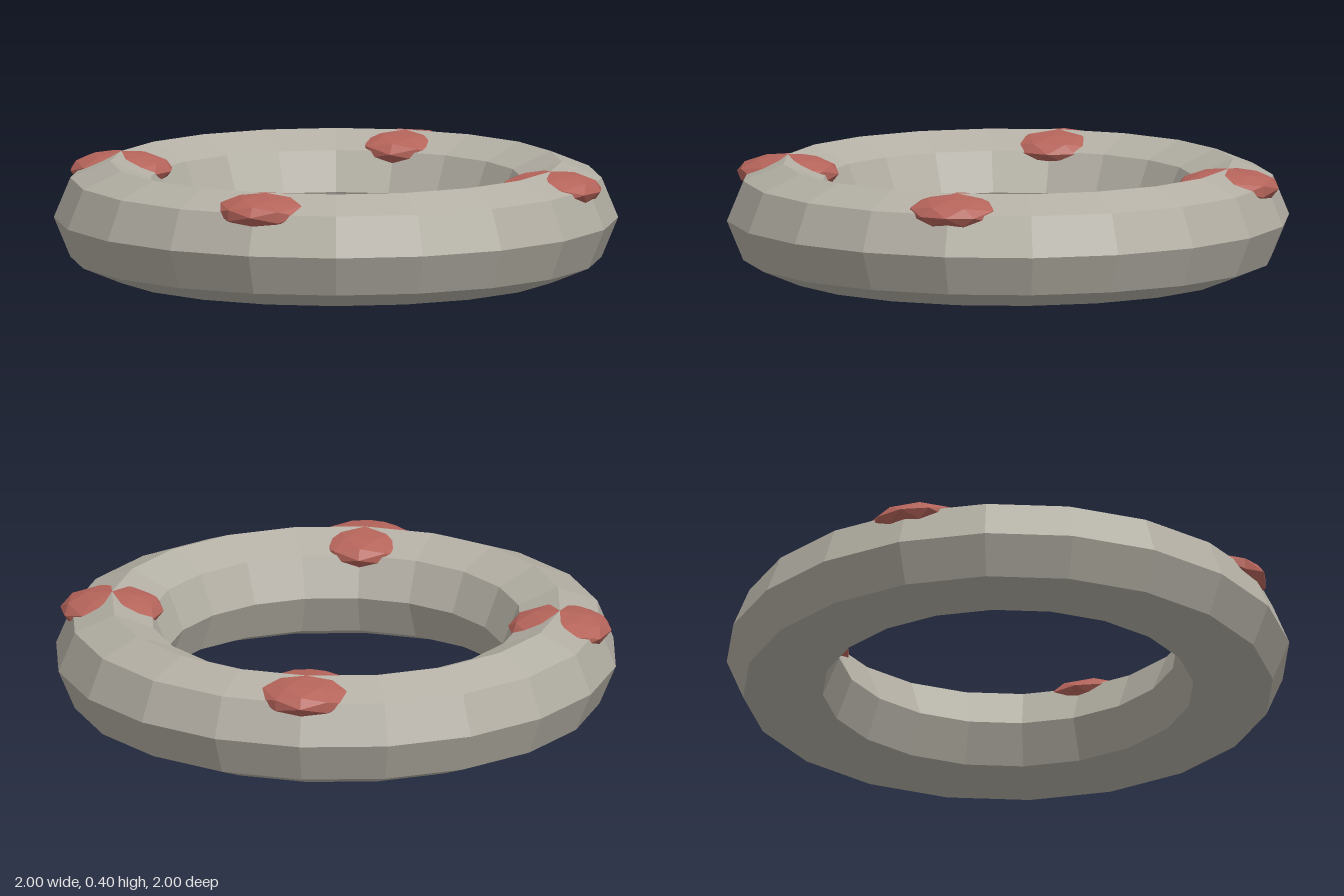
import * as THREE from 'three';

export function createModel() {
  const model = new THREE.Group();
  const stone = new THREE.MeshStandardMaterial({ color: 0xb3afa4, flatShading: true });
  stone.name = 'warm grey';
  const red = new THREE.MeshStandardMaterial({ color: 0xb5645a, flatShading: true });
  red.name = 'dusty red';

  // Low-poly ring lying flat on the ground
  const ring = new THREE.Mesh(new THREE.TorusGeometry(0.8, 0.2, 8, 20).rotateX(Math.PI / 2), stone);
  ring.name = 'ring';
  ring.position.y = 0.2;
  model.add(ring);

  // Four flattened studs straddling the ring's top ridge
  const studShape = new THREE.IcosahedronGeometry(1, 1).scale(0.185, 0.065, 0.185);
  [[0.8, 0], [-0.8, 0], [0, 0.8], [0, -0.8]].forEach(([x, z], i) => {
    const stud = new THREE.Mesh(studShape, red);
    stud.name = ['leftStud', 'rightStud', 'frontStud', 'backStud'][i];
    stud.position.set(x, 0.335, z);
    model.add(stud);
  });
  return model;
}
